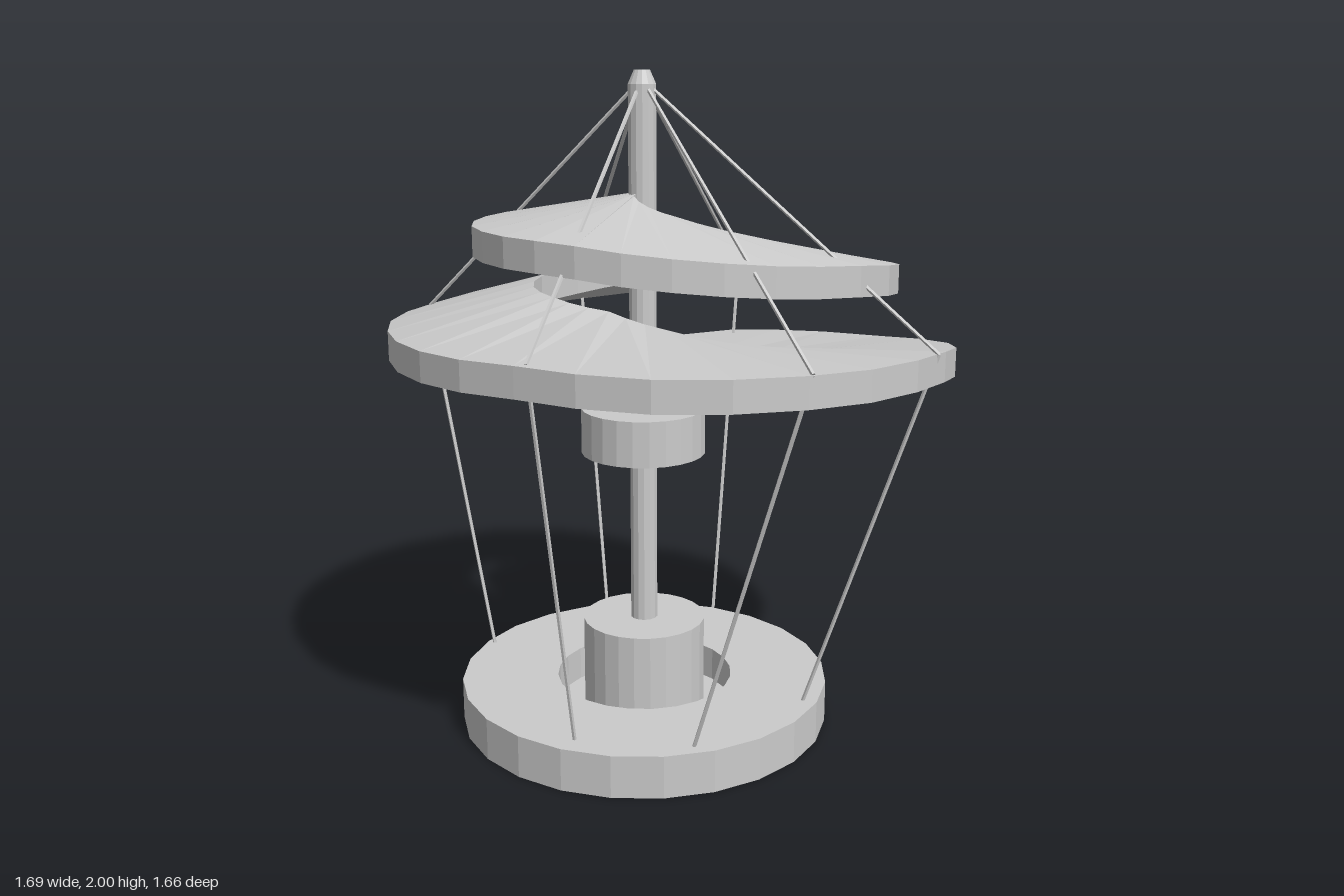
import * as THREE from 'three';

const PX = -0.06, PZ = 0.055; // mast axis
const material = new THREE.MeshStandardMaterial({ color: 0xcccccc, flatShading: true, side: THREE.DoubleSide });
const rad = THREE.MathUtils.degToRad;

function add(group, name, geometry, x = 0, y = 0, z = 0) {
  const mesh = new THREE.Mesh(geometry, material);
  mesh.name = name;
  mesh.position.set(x, y, z);
  group.add(mesh);
  return mesh;
}

// Piecewise linear lookup in a list of [angle, value] keys
function lookup(keys, t) {
  for (let i = 1; i < keys.length; i++) {
    const [a, va] = keys[i - 1], [b, vb] = keys[i];
    if (t <= b) return b === a ? vb : va + (vb - va) * Math.max(0, (t - a) / (b - a));
  }
  return keys[keys.length - 1][1];
}

// Ramp, by angle: 0 left of the mast, 90 front, 180 right, 270 back, and on round
const START = -68, END = 675, WEDGE = 612;
const outerRadius = [[-68, 0.38], [-36, 0.4], [-18, 0.43], [5, 0.47], [36, 0.505], [90, 0.53], [129, 0.57],
  [167, 0.65], [194, 0.74], [232, 0.83], [274, 0.84], [307, 0.82], [356, 0.79], [398, 0.75], [450, 0.755],
  [483, 0.85], [540, 0.9], [572, 0.955], [602, 0.97], [613, 0.93], [633, 0.84], [644, 0.72], [660, 0.58], [675, 0.47]];
const innerRadius = [[-68, 0], [75, 0], [90, 0.065], [121, 0.117], [152, 0.18], [180, 0.26], [208, 0.34], [239, 0.41],
  [278, 0.43], [324, 0.4], [360, 0.36], [405, 0.29], [450, 0.22], [495, 0.26], [540, 0.44], [585, 0.52], [612, 0.53]];
const outerTop = [[-68, 1.585], [5, 1.57], [90, 1.565], [180, 1.475], [232, 1.39], [274, 1.325], [315, 1.28],
  [356, 1.25], [405, 1.265], [450, 1.28], [495, 1.275], [540, 1.245], [572, 1.17], [602, 1.1], [640, 1.08], [675, 1.09]];
const innerTop = [[-68, 1.655], [90, 1.65], [152, 1.59], [180, 1.55], [239, 1.46], [278, 1.42], [324, 1.38],
  [360, 1.37], [405, 1.36], [450, 1.33], [495, 1.28], [540, 1.22], [585, 1.13], [612, 1.1], [675, 1.1]];

function rampGeometry() {
  const angles = [];
  const steps = 50;
  for (let i = 0; i <= steps; i++) angles.push(START + ((WEDGE - START) * i) / steps);
  const holeEnd = angles.length; // from here the ramp reaches in to the mast again
  for (let i = 0; i <= 6; i++) angles.push(WEDGE + ((END - WEDGE) * i) / 6);

  const positions = [], index = [];
  angles.forEach((deg, i) => {
    const c = -Math.cos(rad(deg)), s = Math.sin(rad(deg));
    const ro = lookup(outerRadius, deg), ri = i >= holeEnd ? 0 : lookup(innerRadius, deg);
    const yo = lookup(outerTop, deg), yi = lookup(innerTop, deg);
    const thick = 0.088;
    for (const [r, y] of [[ro, yo], [ro, yo - thick], [ri, yi - thick], [ri, yi]])
      positions.push(PX + c * r, y, PZ + s * r);
  });
  for (let i = 0; i < angles.length - 1; i++) {
    for (let j = 0; j < 4; j++) {
      const a = i * 4 + j, b = i * 4 + ((j + 1) % 4);
      index.push(a, b, b + 4, a, b + 4, a + 4);
    }
  }
  const e = (angles.length - 1) * 4;
  index.push(0, 3, 2, 0, 2, 1, e, e + 1, e + 2, e, e + 2, e + 3);
  const g = new THREE.BufferGeometry();
  g.setAttribute('position', new THREE.Float32BufferAttribute(positions, 3));
  g.setIndex(index);
  const flat = g.toNonIndexed();
  flat.computeVertexNormals();
  return flat;
}

// Thin straight rod between two points
function rod(group, name, a, b) {
  const dir = b.clone().sub(a);
  const mesh = add(group, name, new THREE.CylinderGeometry(0.006, 0.006, dir.length(), 5));
  mesh.position.copy(a).addScaledVector(dir, 0.5);
  mesh.quaternion.setFromUnitVectors(new THREE.Vector3(0, 1, 0), dir.normalize());
}

export function createModel() {
  const model = new THREE.Group();
  model.name = 'spiralTower';

  // Dished base with a round well
  const profile = [[0, 0], [0.575, 0], [0.575, 0.13], [0.275, 0.13], [0.275, 0.025], [0, 0.025]];
  add(model, 'base', new THREE.LatheGeometry(profile.map(p => new THREE.Vector2(...p)), 24), PX, 0, PZ);

  // Mast with hub, collar and tapered tip
  add(model, 'hub', new THREE.CylinderGeometry(0.19, 0.19, 0.295, 24), PX, 0.1725, PZ);
  add(model, 'collar', new THREE.CylinderGeometry(0.19, 0.19, 0.14, 24), PX, 0.93, PZ);
  add(model, 'mast', new THREE.CylinderGeometry(0.042, 0.042, 1.66, 14), PX, 1.13, PZ);
  add(model, 'mastTip', new THREE.CylinderGeometry(0.024, 0.042, 0.04, 14), PX, 1.98, PZ);

  // Spiral ramp winding twice round the mast
  add(model, 'spiralRamp', rampGeometry());

  // Stays: mast tip to ramp rim, then down to the base
  const stays = new THREE.Group();
  stays.name = 'stays';
  model.add(stays);
  const tip = new THREE.Vector3(PX, 1.975, PZ);
  const points = [
    [-0.82, 1.25, PZ, -0.61, PZ],
    [0.84, 1.24, PZ, 0.47, PZ],
    [-0.05, 1.28, 0.79, -0.05, 0.56],
    [-0.07, 1.33, -0.77, -0.06, -0.53],
    [-0.58, 1.28, -0.55, -0.41, -0.39],
    [0.64, 1.27, 0.56, 0.28, 0.46],
  ];
  for (const [x, y, z, bx, bz] of points) {
    const rim = new THREE.Vector3(x, y, z);
    rod(stays, 'upperStay', tip, rim);
    rod(stays, 'lowerStay', rim, new THREE.Vector3(bx, 0.125, bz));
  }
  return model;
}
